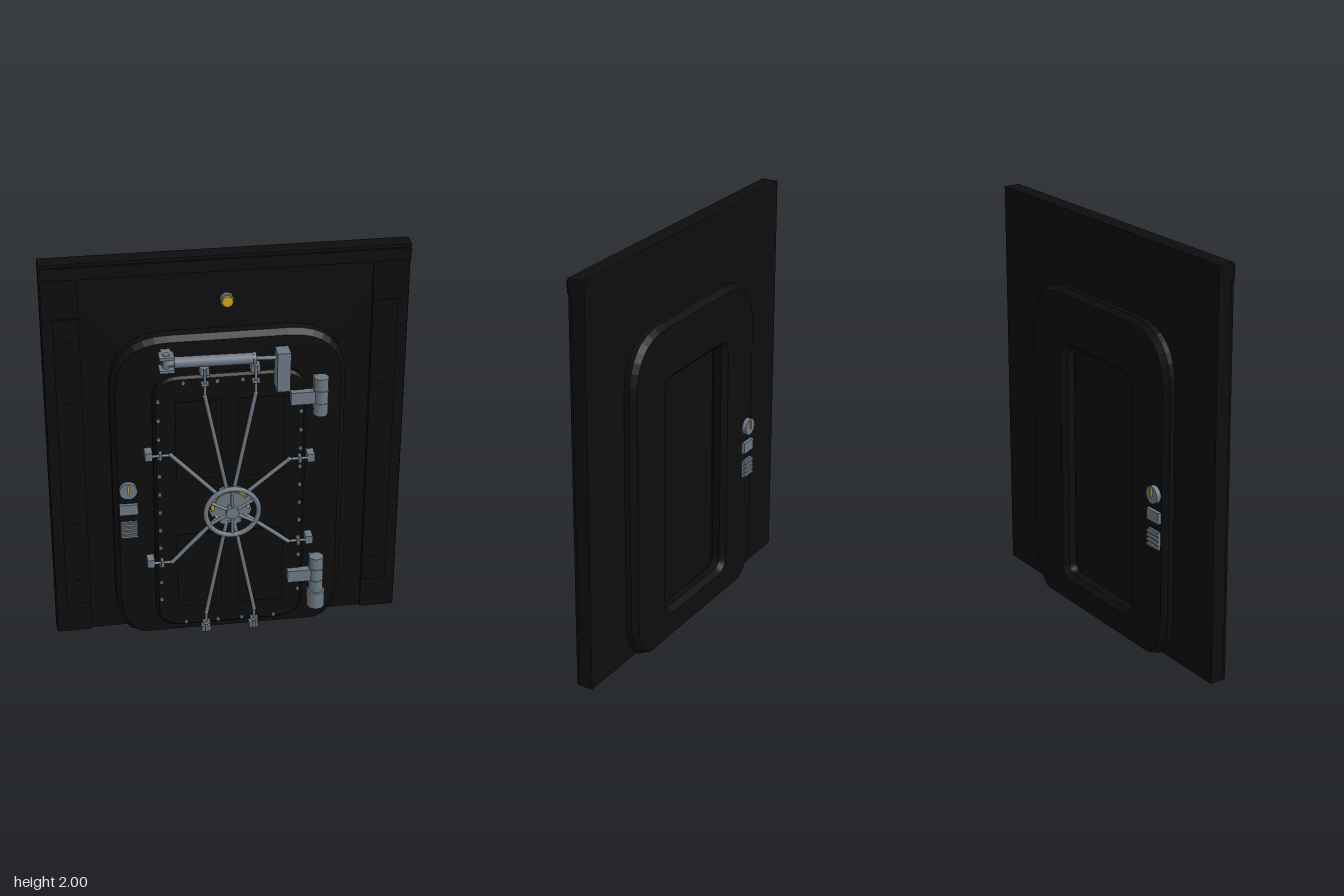
import * as THREE from 'three';

const black = new THREE.MeshStandardMaterial({ color: 0x0d0d0d });
black.name = 'black paint';
const steel = new THREE.MeshStandardMaterial({ color: 0x6c7882 });
steel.name = 'grey steel';
const gold = new THREE.MeshStandardMaterial({ color: 0xd0a616 });
gold.name = 'yellow enamel';

export function createModel() {
  const model = new THREE.Group();
  model.name = 'vaultDoor';

  function add(name, geo, mat, x = 0, y = 0, z = 0, parent = model) {
    const mesh = new THREE.Mesh(geo, mat);
    mesh.name = name;
    mesh.position.set(x, y, z);
    parent.add(mesh);
    return mesh;
  }
  // Box given by its limits on each axis
  const span = (name, mat, x0, x1, y0, y1, z0, z1, parent) =>
    add(name, new THREE.BoxGeometry(x1 - x0, y1 - y0, z1 - z0), mat,
      (x0 + x1) / 2, (y0 + y1) / 2, (z0 + z1) / 2, parent);
  // Round bar between two points
  function bar(name, a, b, r, mat = steel, parent = model, sides = 10) {
    const p = new THREE.Vector3(...a), q = new THREE.Vector3(...b);
    const d = q.clone().sub(p);
    const m = add(name, new THREE.CylinderGeometry(r, r, d.length(), sides), mat, 0, 0, 0, parent);
    m.position.copy(p).add(q).multiplyScalar(0.5);
    m.quaternion.setFromUnitVectors(new THREE.Vector3(0, 1, 0), d.normalize());
    return m;
  }
  // Disc facing along z
  const disc = (name, mat, x, y, z0, z1, r, parent = model, sides = 24) =>
    bar(name, [x, y, z0], [x, y, z1], r, mat, parent, sides);

  function rounded(x, y0, y1, r, path = new THREE.Shape()) {
    path.moveTo(-x + r, y0);
    path.lineTo(x - r, y0);
    path.quadraticCurveTo(x, y0, x, y0 + r);
    path.lineTo(x, y1 - r);
    path.quadraticCurveTo(x, y1, x - r, y1);
    path.lineTo(-x + r, y1);
    path.quadraticCurveTo(-x, y1, -x, y1 - r);
    path.lineTo(-x, y0 + r);
    path.quadraticCurveTo(-x, y0, -x + r, y0);
    return path;
  }
  // Bevelled slab between z0 and z1, cut flat at the floor
  function slab(name, shape, z0, z1, bevel, mat = black) {
    const g = new THREE.ExtrudeGeometry(shape, {
      depth: z1 - z0 - 2 * bevel, bevelEnabled: bevel > 0, bevelThickness: bevel,
      bevelSize: bevel, bevelOffset: -bevel, bevelSegments: 1, curveSegments: 8,
    });
    g.translate(0, 0, z0 + bevel);
    const p = g.attributes.position;
    for (let i = 0; i < p.count; i++) p.setY(i, Math.max(0, p.getY(i)));
    g.computeVertexNormals();
    return add(name, g, mat);
  }

  // Wall with a doorway cut-out
  const wall = new THREE.Shape([
    [-0.86, 0], [-0.45, 0], [-0.45, 1.5], [0.45, 1.5], [0.45, 0], [0.86, 0], [0.86, 2], [-0.86, 2],
  ].map(p => new THREE.Vector2(...p)));
  slab('wall', wall, -0.095, -0.025, 0);
  span('topBeam', black, -0.86, 0.86, 1.92, 2, -0.03, -0.012);
  span('topBeamFace', black, -0.85, 0.85, 1.925, 1.985, -0.02, 0);
  for (const s of [-1, 1]) {
    span('pillar', black, s * 0.77 - 0.085, s * 0.77 + 0.085, 0, 1.92, -0.03, -0.01);
    span('pillarPanel', black, s * 0.745 - 0.06, s * 0.745 + 0.06, 0.17, 1.73, -0.02, 0.002);
    for (let i = 0; i < 5; i++)
      disc('pillarRivet', black, s * 0.745, 0.3 + i * 0.33, 0, 0.008, 0.01, model, 8);
  }

  // Door frame, recessed at the back
  const frameShape = () => rounded(0.56, -0.06, 1.63, 0.28);
  const back = frameShape();
  back.holes.push(rounded(0.27, 0.14, 1.34, 0.05, new THREE.Path()));
  slab('frameBack', back, -0.148, -0.06, 0.025);
  slab('frameFront', frameShape(), -0.062, 0.05, 0.025);

  // Door leaf and its raised panels
  slab('doorLeaf', rounded(0.365, 0.04, 1.44, 0.13), 0.03, 0.085, 0.012);
  for (const s of [-1, 1])
    for (const [y0, y1] of [[0.16, 0.58], [0.89, 1.31]])
      span('doorPanel', black, s * 0.15 - 0.11, s * 0.15 + 0.11, y0, y1, 0.08, 0.092);

  // Bolts around the door edge
  const bolt = (x, y) => disc('doorBolt', steel, x, y, 0.08, 0.094, 0.01, model, 6);
  for (const s of [-1, 1]) {
    for (let i = 0; i < 12; i++) bolt(s * 0.34, 0.21 + i * 0.1009);
    for (const y of [0.065, 1.41]) for (const x of [0.06, 0.22]) bolt(s * x, y);
  }

  // Locking rods: bend point and end point, from the hub outward
  const hubY = 0.735, rz = 0.1;
  const rods = [
    [-0.12, 1.34, -0.12, 1.48], [0.12, 1.34, 0.12, 1.48],
    [-0.12, 0.12, -0.12, 0.005], [0.12, 0.12, 0.12, 0.005],
    [-0.285, 1.037, -0.39, 1.037], [0.285, 0.968, 0.39, 0.968],
    [-0.285, 0.435, -0.39, 0.435], [0.285, 0.502, 0.39, 0.502],
  ];
  for (const [bx, by, ex, ey] of rods) {
    const rod = new THREE.Group();
    rod.name = 'lockingRod';
    model.add(rod);
    const upright = bx === ex;
    const l = Math.hypot(bx, by - hubY);
    bar('rodArm', [bx / l * 0.08, hubY + (by - hubY) / l * 0.08, rz], [bx, by, rz], 0.01, steel, rod);
    bar('rodEnd', [bx, by, rz], [ex, ey, rz], 0.007, steel, rod);
    add('rodJoint', new THREE.SphereGeometry(0.011, 10, 8), steel, bx, by, rz, rod);
    if (upright) {
      const top = ey > 1, cy = top ? 1.465 : 0.012, gy = top ? 1.405 : 0.062;
      span('rodSocket', steel, ex - 0.022, ex + 0.022, top ? cy - 0.02 : 0, cy + 0.016, 0.048, 0.095, rod);
      span('rodGuide', steel, ex - 0.018, ex + 0.018, gy - 0.007, gy + 0.007, 0.08, 0.115, rod);
    } else {
      const s = Math.sign(ex);
      span('rodSocket', steel, ex - 0.018, ex + 0.018, ey - 0.021, ey + 0.021, 0.048, 0.108, rod);
      span('rodGuide', steel, s * 0.335 - 0.007, s * 0.335 + 0.007, ey - 0.017, ey + 0.017, 0.08, 0.118, rod);
    }
  }

  // Hub and hand wheel
  const wheel = new THREE.Group();
  wheel.name = 'handWheel';
  model.add(wheel);
  disc('hubRing', gold, 0, hubY, 0.085, 0.108, 0.095, wheel, 32);
  disc('hubDisc', steel, 0, hubY, 0.09, 0.116, 0.08, wheel, 32);
  for (let i = 0; i < 8; i++) {
    const a = (i + 0.5) * Math.PI / 4;
    const lug = add('hubLug', new THREE.BoxGeometry(0.03, 0.03, 0.022), steel,
      Math.cos(a) * 0.09, hubY + Math.sin(a) * 0.09, 0.1, wheel);
    lug.rotation.z = a;
  }
  disc('wheelShaft', steel, 0, hubY, 0.1, 0.165, 0.018, wheel, 16);
  disc('wheelCap', steel, 0, hubY, 0.15, 0.18, 0.032, wheel, 16);
  add('wheelRim', new THREE.TorusGeometry(0.128, 0.0125, 10, 40), steel, 0, hubY, 0.165, wheel);
  for (let i = 0; i < 6; i++) {
    const a = Math.PI / 6 + i * Math.PI / 3;
    bar('wheelSpoke', [0, hubY, 0.165],
      [Math.cos(a) * 0.125, hubY + Math.sin(a) * 0.125, 0.165], 0.008, steel, wheel);
  }

  // Hinges
  for (const [y0, y1, ay] of [[1.205, 1.4, 1.3], [0.2, 0.4, 0.3]]) {
    bar('hingeBarrel', [0.43, y0, 0.1], [0.43, y1, 0.1], 0.035, steel, model, 16);
    span('hingePlate', steel, 0.4, 0.46, y0 + 0.01, y1 - 0.01, 0.045, 0.1);
    span('hingeArm', steel, 0.285, 0.43, ay - 0.032, ay + 0.032, 0.08, 0.118);
    for (const t of [-0.033, 0.033])
      bar('hingeCollar', [0.43, ay + t - 0.004, 0.1], [0.43, ay + t + 0.004, 0.1], 0.038, steel, model, 16);
  }
  bar('hingeMotor', [0.43, 0.115, 0.103], [0.43, 0.205, 0.103], 0.044, steel, model, 20);

  // Door closer above the door
  span('closerMount', steel, -0.32, -0.275, 1.5, 1.575, 0.045, 0.1);
  for (const y of [1.505, 1.57])
    span('closerFork', steel, -0.335, -0.265, y - 0.007, y + 0.007, 0.08, 0.15);
  bar('closerPin', [-0.3, 1.495, 0.115], [-0.3, 1.58, 0.115], 0.018);
  bar('closerNeck', [-0.3, 1.535, 0.115], [-0.25, 1.535, 0.117], 0.02);
  bar('closerCylinder', [-0.265, 1.535, 0.116], [0.11, 1.535, 0.125], 0.027, steel, model, 20);
  bar('closerCap', [0.1, 1.535, 0.125], [0.115, 1.535, 0.125], 0.03, steel, model, 20);
  bar('closerPiston', [0.1, 1.535, 0.125], [0.22, 1.535, 0.135], 0.01);
  span('closerBlock', steel, 0.208, 0.27, 1.375, 1.515, 0.085, 0.175);
  span('closerHead', steel, 0.208, 0.27, 1.515, 1.575, 0.1, 0.18);

  // Control units on both sides of the frame
  for (const [z, d] of [[0.047, 1], [-0.145, -1]]) {
    const unit = new THREE.Group();
    unit.name = d > 0 ? 'frontControls' : 'backControls';
    model.add(unit);
    const box = (name, mat, w, h, x, y, a, b) =>
      add(name, new THREE.BoxGeometry(w, h, b - a), mat, x, y, z + d * (a + b) / 2, unit);
    disc('dial', steel, -0.488, 0.835, z, z + d * 0.026, 0.043, unit);
    box('dialPointer', gold, 0.009, 0.042, -0.488, 0.848, 0.024, 0.033);
    box('keypad', steel, 0.09, 0.056, -0.488, 0.728, 0, 0.02);
    box('grille', steel, 0.082, 0.09, -0.488, 0.611, 0, 0.014);
    for (let i = 0; i < 4; i++)
      box('grilleSlat', steel, 0.082, 0.011, -0.488, 0.578 + i * 0.022, 0.012, 0.024);
  }

  // Warning lamp above the door
  disc('lampBase', steel, 0, 1.775, -0.03, 0, 0.032, model, 16);
  disc('lamp', gold, 0, 1.775, -0.005, 0.015, 0.027, model, 8);
  return model;
}
